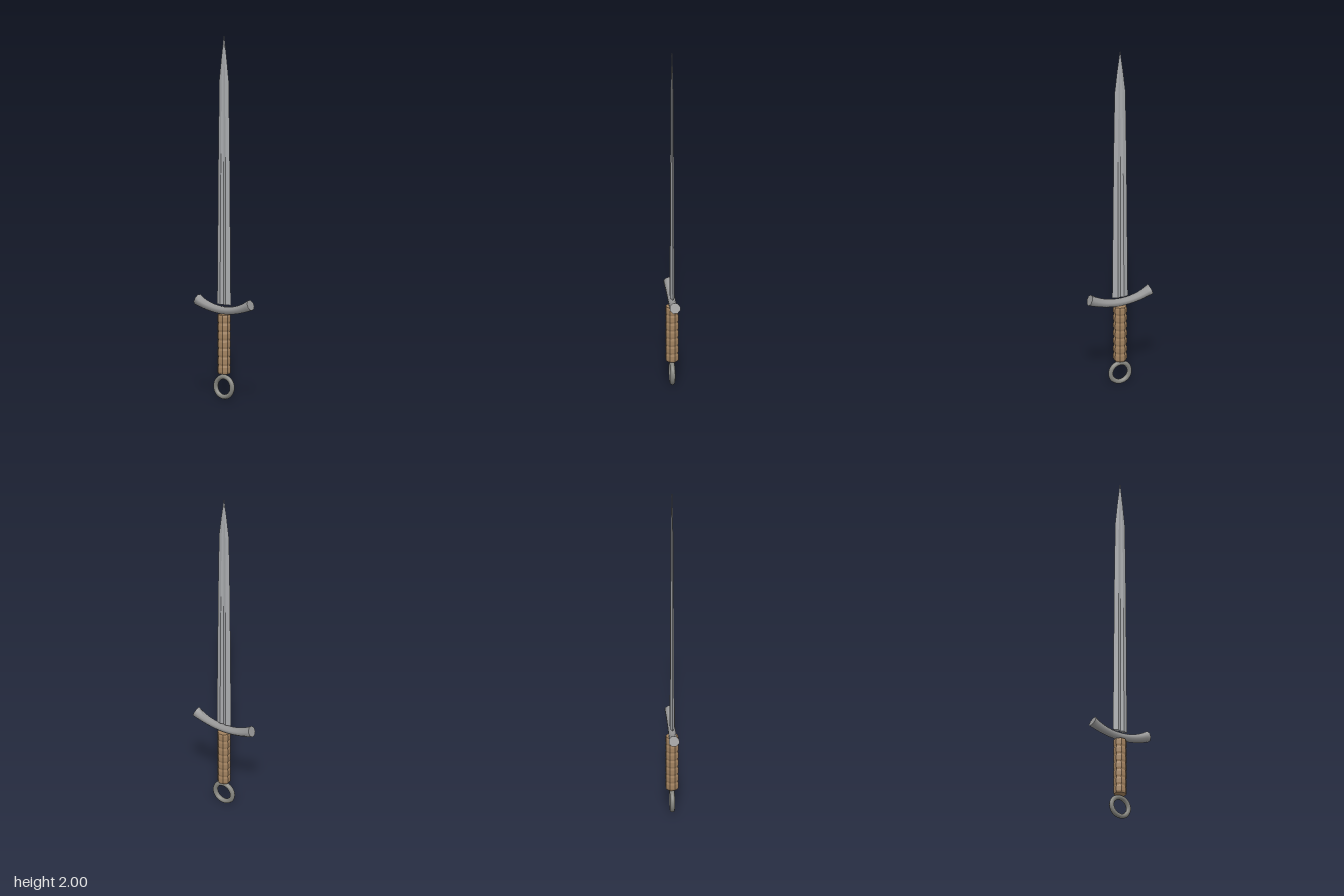
import * as THREE from 'three';
import { toCreasedNormals } from 'three/addons/utils/BufferGeometryUtils.js';

const material = (color, flatShading = false) => new THREE.MeshStandardMaterial({ color, flatShading });

function addPart(group, name, geometry, mat) {
  const mesh = new THREE.Mesh(geometry, mat);
  mesh.name = name;
  group.add(mesh);
  return mesh;
}

// Skins equal-length rings (counter-clockwise about the travel direction) and caps both ends
function loft(rings) {
  const pos = [];
  const tri = (...pts) => pts.forEach((p) => pos.push(p.x, p.y, p.z));
  const centre = (ring) => ring.reduce((s, p) => s.add(p), new THREE.Vector3()).divideScalar(ring.length);
  const n = rings[0].length, first = rings[0], last = rings[rings.length - 1];
  const c0 = centre(first), c1 = centre(last);
  for (let j = 0; j < n; j++) {
    const k = (j + 1) % n;
    for (let i = 0; i < rings.length - 1; i++) {
      const a = rings[i][j], b = rings[i][k], c = rings[i + 1][k], d = rings[i + 1][j];
      tri(a, b, c);
      tri(a, c, d);
    }
    tri(c0, first[k], first[j]);
    tri(c1, last[j], last[k]);
  }
  const geo = new THREE.BufferGeometry();
  geo.setAttribute('position', new THREE.Float32BufferAttribute(pos, 3));
  geo.computeVertexNormals();
  return geo;
}

// Double-edged blade with a shallow central groove on both faces
function bladeGeometry() {
  // height, half width, ridge x, ridge z, groove z
  const stations = [
    [0.52, 0.046, 0.018, 0.012, 0.005],
    [1.38, 0.038, 0.015, 0.008, 0.004],
    [1.75, 0.032, 0.012, 0.006, 0.003],
    [1.88, 0.017, 0.006, 0.004, 0.003],
    [2.0, 0.0005, 0.0002, 0.0005, 0.0005],
  ];
  return loft(stations.map(([y, w, rx, rz, gz]) =>
    [[0, gz], [rx, rz], [w, 0], [rx, -rz], [0, -gz], [-rx, -rz], [-w, 0], [-rx, rz]]
      .map(([x, z]) => new THREE.Vector3(x, y, z))));
}

// Upward-curving octagonal guard, flared towards its ends
function guardGeometry() {
  const rings = [], steps = 16, arc = 0.38, sides = 8;
  for (let i = 0; i <= steps; i++) {
    const t = (i / steps) * 2 - 1;
    const x = 0.179 * t;
    const y = 0.488 + arc - Math.sqrt(arc * arc - x * x);
    const tilt = 0.8 * Math.asin(x / arc);
    const r = 0.0215 + 0.009 * Math.pow(Math.abs(t), 3);
    const ring = [];
    for (let j = 0; j < sides; j++) {
      const a = ((j + 0.5) / sides) * Math.PI * 2;
      const up = r * Math.cos(a);
      ring.push(new THREE.Vector3(x - up * Math.sin(tilt), y + up * Math.cos(tilt), r * Math.sin(a)));
    }
    rings.push(ring);
  }
  return toCreasedNormals(loft(rings), 0.9);
}

// Octagonal wrapped grip with shallow grooves between the bulges
function gripGeometry() {
  const bottom = 0.142, top = 0.466, bulges = 7;
  const step = (top - bottom) / bulges;
  const profile = [new THREE.Vector2(0, bottom)];
  for (let i = 0; i < bulges; i++) {
    const y = bottom + i * step;
    profile.push(new THREE.Vector2(0.034, y));
    profile.push(new THREE.Vector2(0.037, y + step * 0.25));
    profile.push(new THREE.Vector2(0.037, y + step * 0.75));
  }
  profile.push(new THREE.Vector2(0.034, top), new THREE.Vector2(0, top));
  return new THREE.LatheGeometry(profile, 8, Math.PI / 8);
}

export function createModel() {
  const group = new THREE.Group();
  group.name = 'sword';

  addPart(group, 'blade', bladeGeometry(), material(0xa9abae, true));
  addPart(group, 'crossguard', guardGeometry(), material(0x979797));
  addPart(group, 'grip', gripGeometry(), material(0xa38360, true));

  // Ring pommel
  const ring = addPart(group, 'ringPommel', new THREE.TorusGeometry(0.055, 0.0135, 8, 32), material(0x85857f));
  ring.position.y = 0.0685;

  return group;
}
